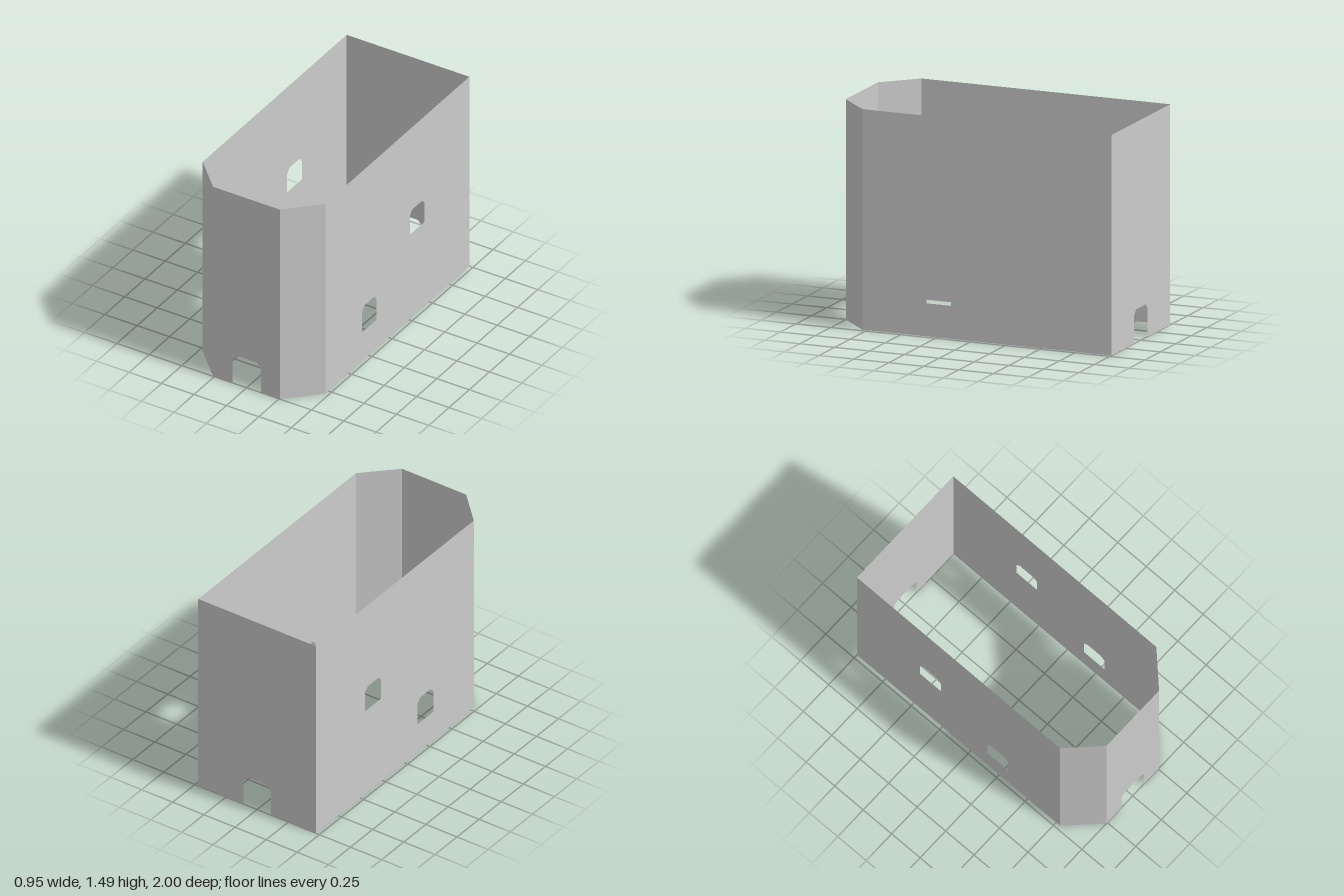
import * as THREE from 'three';

const HEIGHT = 1.485;
const material = new THREE.MeshStandardMaterial({
  color: 0xcccccc, flatShading: true, side: THREE.DoubleSide,
});

// Corners of an opening with a clipped top, bottom left round to bottom right
function openingPoints(centre, width, bottom, top, cutX, cutY) {
  const l = centre - width / 2, r = centre + width / 2;
  return [
    [l, bottom], [l, top - cutY], [l + cutX, top],
    [r - cutX, top], [r, top - cutY], [r, bottom],
  ].map(([x, y]) => new THREE.Vector2(x, y));
}

// Thin upright wall between two plan points [x, z], facing outward
function wall(name, [ax, az], [bx, bz], { door = false, windows = [] } = {}) {
  const length = Math.hypot(bx - ax, bz - az);
  const outline = [new THREE.Vector2(0, 0)];
  if (door) outline.push(...openingPoints(length / 2, 0.22, 0, 0.225, 0.033, 0.037));
  outline.push(
    new THREE.Vector2(length, 0),
    new THREE.Vector2(length, HEIGHT),
    new THREE.Vector2(0, HEIGHT),
  );
  const shape = new THREE.Shape(outline);
  for (const { z, width, bottom, top } of windows) {
    shape.holes.push(new THREE.Path(
      openingPoints(Math.abs(z - az), width, bottom, top, 0.03, 0.033)));
  }
  const mesh = new THREE.Mesh(new THREE.ShapeGeometry(shape), material);
  mesh.name = name;
  mesh.position.set(ax, 0, az);
  mesh.rotation.y = Math.atan2(az - bz, bx - ax);
  return mesh;
}

export function createModel() {
  const group = new THREE.Group();
  group.name = 'tower';

  const side = 0.473, front = 0.258, shoulder = 0.784;
  const windows = [
    { z: 0.238, width: 0.178, bottom: 0.223, top: 0.42 },
    { z: -0.354, width: 0.182, bottom: 0.658, top: 0.84 },
  ];

  // Open shell, walked round the plan
  group.add(
    wall('frontWall', [-front, 1], [front, 1], { door: true }),
    wall('leftCornerWall', [front, 1], [side, shoulder]),
    wall('leftWall', [side, shoulder], [side, -1], { windows }),
    wall('backWall', [side, -1], [-side, -1], { door: true }),
    wall('rightWall', [-side, -1], [-side, shoulder], { windows }),
    wall('rightCornerWall', [-side, shoulder], [-front, 1]),
  );
  return group;
}
